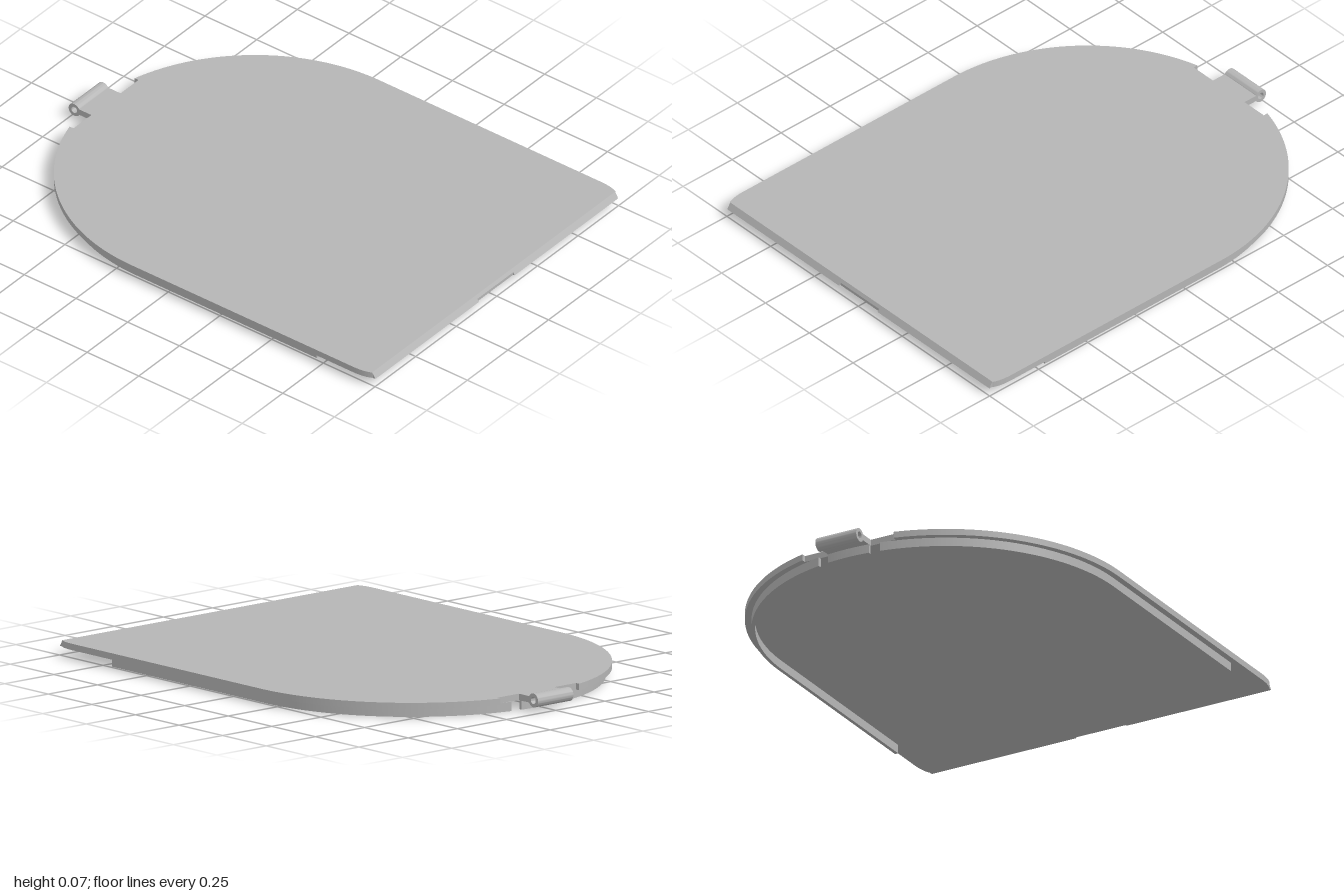
import * as THREE from 'three';
import { toCreasedNormals } from 'three/addons/utils/BufferGeometryUtils.js';

export function createModel() {
  const group = new THREE.Group();
  const grey = new THREE.MeshStandardMaterial({ color: 0xb5b5b5 });
  grey.name = 'light grey';

  const CX = -0.17; // centre of the round end
  const add = (name, geometry) => {
    const mesh = new THREE.Mesh(toCreasedNormals(geometry, 0.5), grey);
    mesh.name = name;
    group.add(mesh);
    return mesh;
  };
  // Plan outline raised from y0 to y1
  const slab = (name, shape, y0, y1) => {
    const g = new THREE.ExtrudeGeometry(shape, { depth: y1 - y0, bevelEnabled: false, curveSegments: 64 });
    g.rotateX(-Math.PI / 2).translate(0, y0, 0);
    return add(name, g);
  };
  // Side profile in x, y run along z
  const bar = (name, shape, z0, z1) => {
    const g = new THREE.ExtrudeGeometry(shape, { depth: z1 - z0, bevelEnabled: false, curveSegments: 24 });
    g.translate(0, 0, z0);
    return add(name, g);
  };
  const polygon = (points) => new THREE.Shape(points.map(([x, y]) => new THREE.Vector2(x, y)));

  // Lid plate with a round end, two notches and a hinge arm
  const R = 0.765;
  const a = Math.asin(0.2 / R);
  const plate = new THREE.Shape();
  plate.moveTo(0.985, -0.75);
  plate.lineTo(0.985, 0.75);
  plate.quadraticCurveTo(0.955, 0.765, 0.9, R);
  plate.lineTo(CX, R);
  plate.absarc(CX, 0, R, Math.PI / 2, Math.PI - a, false);
  for (const [x, y] of [[-0.89, 0.2], [-0.89, 0.09], [-0.952, 0.09], [-0.952, -0.09], [-0.89, -0.09], [-0.89, -0.2]]) {
    plate.lineTo(x, y);
  }
  plate.absarc(CX, 0, R, Math.PI + a, Math.PI * 1.5, false);
  plate.lineTo(0.9, -R);
  plate.quadraticCurveTo(0.955, -0.765, 0.985, -0.75);
  slab('lidPlate', plate, 0.035, 0.06);

  // Sloped edge of the straight end, trimmed at the finger notch
  const lip = polygon([[0.985, 0.035], [1, 0.035], [0.985, 0.06]]);
  const trimmedLip = polygon([[0.985, 0.035], [0.993, 0.035], [0.993, 0.0467], [0.985, 0.06]]);
  bar('leftLip', lip, 0.11, 0.748);
  bar('rightLip', lip, -0.748, -0.11);
  bar('notchLip', trimmedLip, -0.11, 0.11);

  // Thin locating rim underneath, open on both sides of the hinge
  const outer = 0.74, inner = 0.726;
  const gap = Math.asin(0.135 / outer);
  for (const side of [1, -1]) {
    const angle = (t) => side * t;
    const rim = new THREE.Shape();
    rim.moveTo(0.71, side * outer);
    rim.lineTo(CX, side * outer);
    rim.absarc(CX, 0, outer, angle(Math.PI / 2), angle(Math.PI - gap), side < 0);
    rim.absarc(CX, 0, inner, angle(Math.PI - gap), angle(Math.PI / 2), side > 0);
    rim.lineTo(0.71, side * inner);
    rim.closePath();
    slab(side > 0 ? 'rightRim' : 'leftRim', rim, 0, 0.036);
  }
  const b = Math.asin(0.09 / outer);
  const tab = new THREE.Shape();
  tab.absarc(CX, 0, outer, Math.PI - b, Math.PI + b, false);
  tab.absarc(CX, 0, inner, Math.PI + b, Math.PI - b, true);
  tab.closePath();
  slab('hingeRim', tab, 0, 0.036);

  // Hinge barrel with a pin hole
  const barrel = new THREE.Shape();
  barrel.absarc(-0.973, 0.047, 0.027, 0, Math.PI * 2, false);
  const hole = new THREE.Path();
  hole.absarc(-0.973, 0.047, 0.014, 0, Math.PI * 2, true);
  barrel.holes.push(hole);
  bar('hingeBarrel', barrel, -0.09, 0.09);

  return group;
}
